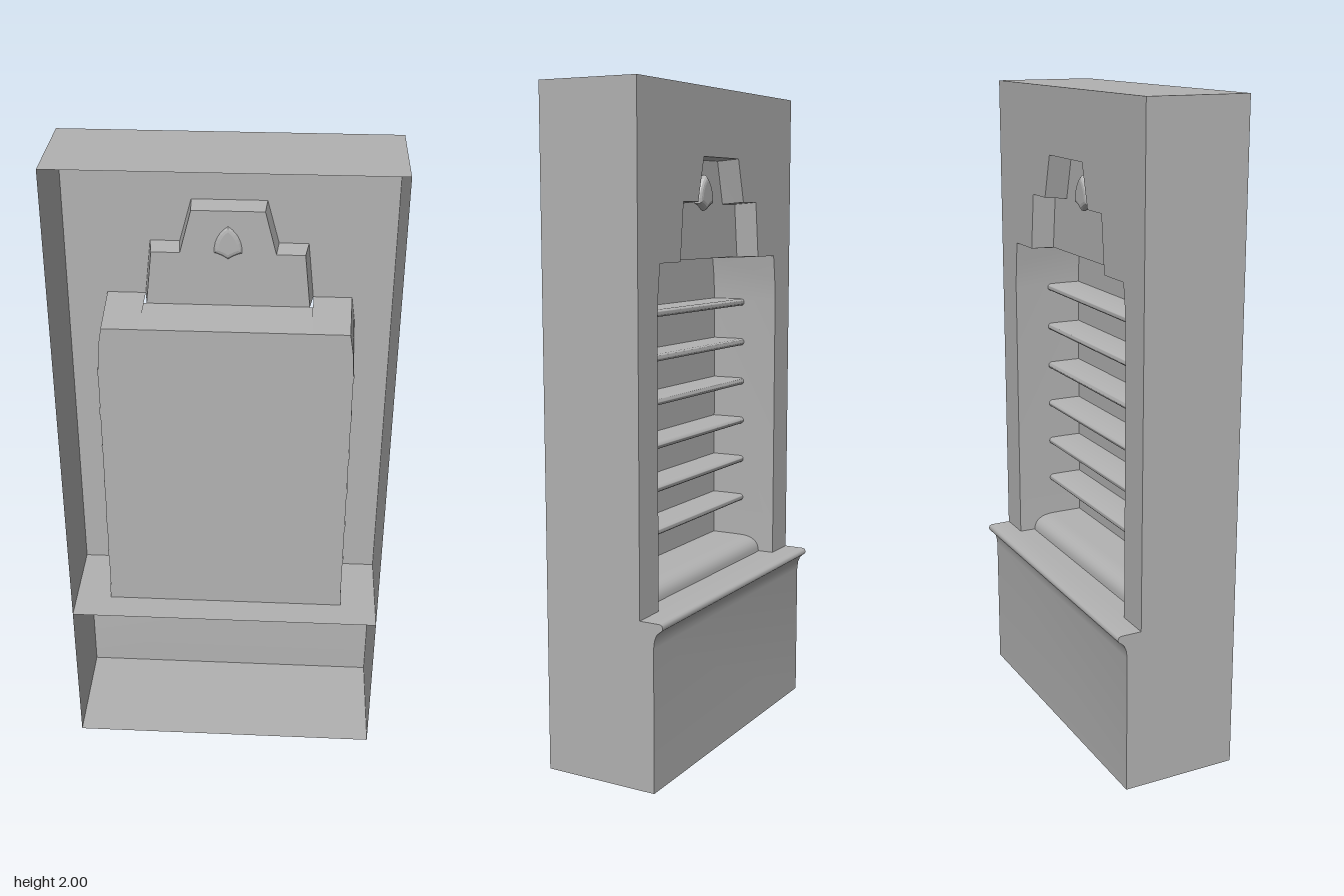
import * as THREE from 'three';
import { toCreasedNormals } from 'three/addons/utils/BufferGeometryUtils.js';

const W = 0.485;         // half width
const OPEN = 0.195;      // open side of the shell
const WALL = -0.12;      // niche wall plane
const CROWN = -0.05;     // back of the crown recess
const DEEP = 0.1;        // back of the shelf recess
const LEDGE = 0.505;     // top of the plinth

const stone = new THREE.MeshStandardMaterial({ color: 0xb2b2b2, side: THREE.DoubleSide });
stone.name = 'grey stone';

// Strip of quads between two point rows, with hard edges kept sharp
function ruled(a, b, crease = 0.6) {
  const pos = [];
  for (let i = 0; i < a.length - 1; i++) {
    pos.push(...a[i], ...a[i + 1], ...b[i + 1], ...a[i], ...b[i + 1], ...b[i]);
  }
  const g = new THREE.BufferGeometry();
  g.setAttribute('position', new THREE.Float32BufferAttribute(pos, 3));
  g.computeVertexNormals();
  return toCreasedNormals(g, crease);
}

const shapeOf = (pts) => new THREE.Shape(pts.map(([x, y]) => new THREE.Vector2(x, y)));
const mirrorRow = (half) => [...half, ...half.map(([x, y]) => [-x, y]).reverse()];

export function createModel() {
  const group = new THREE.Group();
  const add = (name, geometry, x = 0, y = 0, z = 0) => {
    const mesh = new THREE.Mesh(geometry, stone);
    mesh.name = name;
    mesh.position.set(x, y, z);
    group.add(mesh);
    return mesh;
  };
  const plane = (name, w, d, y, z) => add(name, new THREE.PlaneGeometry(w, d).rotateX(-Math.PI / 2), 0, y, z);

  // Niche outlines: shoulders of the shelf recess and the stepped crown
  const shoulder = [[-0.38, LEDGE], [-0.38, 1.35], [-0.375, 1.43], [-0.365, 1.5], [-0.25, 1.5]];
  const crown = [[-0.25, 1.5], [-0.232, 1.67], [-0.145, 1.67], [-0.11, 1.8]];
  const opening = mirrorRow([...shoulder, ...crown.slice(1)]);

  // Wall with the niche cut out of its lower edge
  add('nicheWall', new THREE.ShapeGeometry(shapeOf([
    [-W, LEDGE], ...opening, [W, LEDGE], [W, 2], [-W, 2],
  ])), 0, 0, WALL);

  // Sides of the shelf recess, tapering slightly inwards
  for (const s of [-1, 1]) {
    const outer = shoulder.map(([x, y]) => [-s * x, y, WALL]);
    const inner = shoulder.map(([x, y]) => [-s * (x === -0.25 ? x : x + 0.008), y > 1.49 ? 1.49 : y, DEEP]);
    add(s > 0 ? 'leftRecessSide' : 'rightRecessSide', ruled(outer, inner));
  }
  add('recessCeiling', ruled(
    [[-0.25, 1.5, CROWN], [0.25, 1.5, CROWN]],
    [[-0.25, 1.49, DEEP], [0.25, 1.49, DEEP]],
  ));
  add('recessBack', new THREE.ShapeGeometry(shapeOf(mirrorRow([
    [-0.372, LEDGE], [-0.372, 1.35], [-0.367, 1.43], [-0.357, 1.49],
  ]))), 0, 0, DEEP);

  // Stepped crown recess
  const crownOuter = mirrorRow(crown);
  const crownInner = crownOuter.map(([x, y]) => [x * 0.96, y > 1.5 ? y - 0.006 : y]);
  add('crownSides', ruled(
    crownOuter.map(([x, y]) => [x, y, WALL]),
    crownInner.map(([x, y]) => [x, y, CROWN]),
  ));
  add('crownBack', new THREE.ShapeGeometry(shapeOf(crownInner)), 0, 0, CROWN);

  // Small pointed boss on the crown
  const boss = new THREE.Shape();
  boss.moveTo(0, 0.055);
  boss.quadraticCurveTo(0.045, 0.025, 0.042, -0.03);
  boss.quadraticCurveTo(0.02, -0.035, 0, -0.05);
  boss.quadraticCurveTo(-0.02, -0.035, -0.042, -0.03);
  boss.quadraticCurveTo(-0.045, 0.025, 0, 0.055);
  add('crownBoss', new THREE.ExtrudeGeometry(boss, {
    depth: 0.006, bevelThickness: 0.012, bevelSize: 0.014, bevelOffset: -0.014, bevelSegments: 3, curveSegments: 6,
  }), 0, 1.695, CROWN - 0.012);

  // Slab along x with a rounded nose: length in z, thickness in y
  const slab = (front, top, bottom, radius) => {
    const s = new THREE.Shape();
    s.moveTo(DEEP, bottom);
    s.lineTo(front + radius, bottom);
    if (bottom === LEDGE) {
      s.lineTo(front, bottom);
      s.quadraticCurveTo(front, top, front + radius, top);
    } else {
      s.absarc(front + radius, (top + bottom) / 2, radius, -Math.PI / 2, -Math.PI * 1.5, true);
    }
    s.lineTo(DEEP, top);
    const g = new THREE.ExtrudeGeometry(s, { depth: 0.748, bevelEnabled: false, curveSegments: 8 });
    g.rotateY(-Math.PI / 2).translate(0.374, 0, 0);
    return toCreasedNormals(g, 0.7);
  };
  for (let i = 0; i < 6; i++) {
    const y = 1.345 - i * 0.132;
    add('shelf' + (i + 1), slab(-0.01, y + 0.011, y - 0.011, 0.011));
  }
  add('bottomStep', slab(-0.07, 0.555, LEDGE, 0.07));

  // Plinth front with a cove and rounded lip, as z and y pairs
  const plinth = [
    [-0.165, 0], [-0.165, 0.43], [-0.168, 0.455], [-0.175, 0.472], [-0.186, 0.482],
    [-0.193, 0.487], [-0.195, 0.494], [-0.192, 0.502], [-0.185, LEDGE], [WALL, LEDGE],
  ];
  add('plinthFront', ruled(
    plinth.map(([z, y]) => [-W, y, z]),
    plinth.map(([z, y]) => [W, y, z]),
    0.9,
  ));
  plane('plinthTop', 2 * W, OPEN - WALL, LEDGE, (OPEN + WALL) / 2);

  // Outer shell, left open on one face
  const sideShape = shapeOf([[OPEN, 0], ...plinth, [WALL, 2], [OPEN, 2]]);
  for (const s of [-1, 1]) {
    add(s > 0 ? 'leftSide' : 'rightSide', new THREE.ShapeGeometry(sideShape).rotateY(-Math.PI / 2), s * W);
  }
  plane('topCap', 2 * W, OPEN - WALL, 2, (OPEN + WALL) / 2);
  plane('floor', 2 * W, OPEN + 0.165, 0, (OPEN - 0.165) / 2);

  return group;
}
